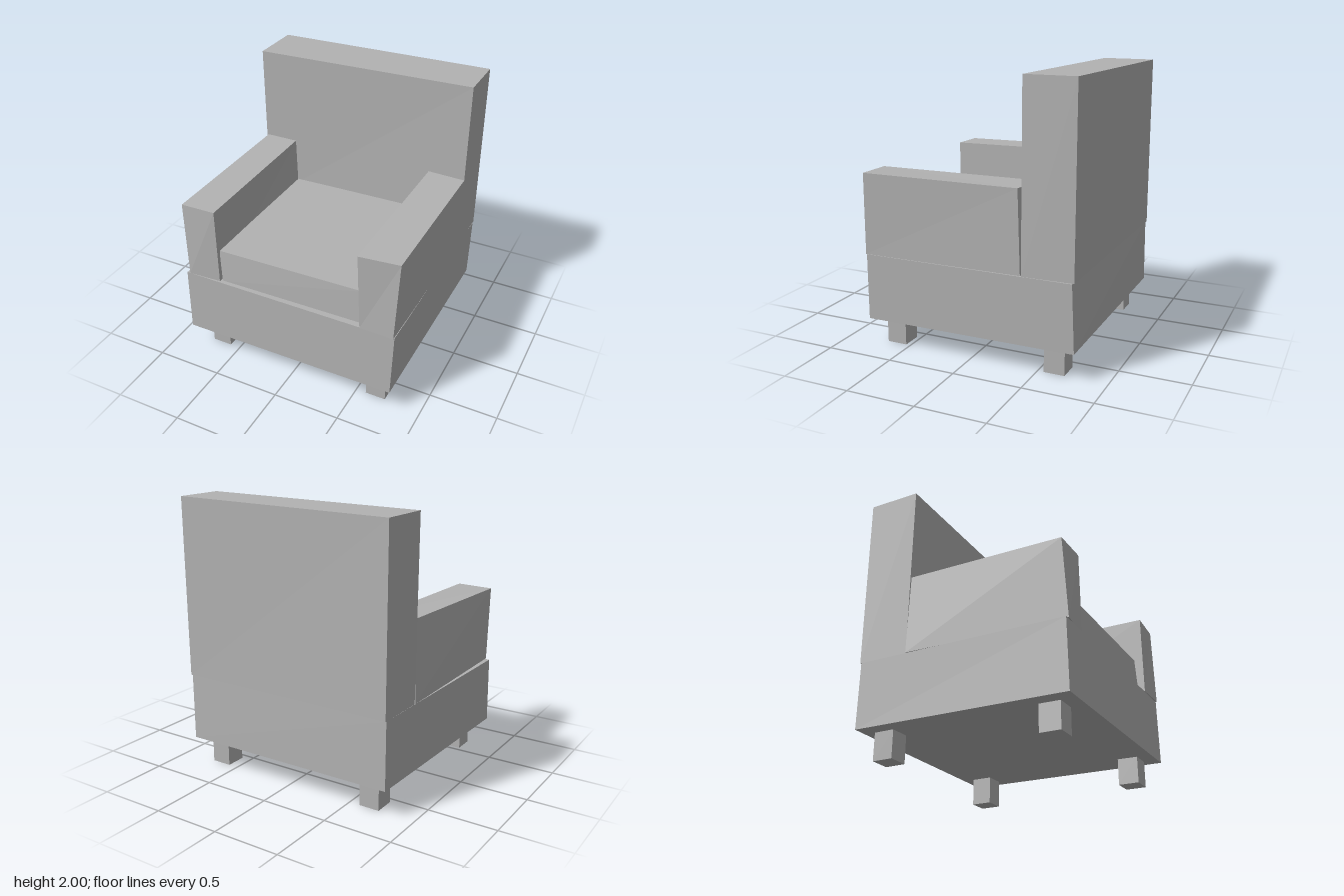
import * as THREE from 'three';

// Box whose eight corners are moved to given points.
// Order for each ring: back -x, back +x, front +x, front -x.
function block(name, bottom, top, material) {
  const geometry = new THREE.BoxGeometry(1, 1, 1);
  const pos = geometry.attributes.position;
  for (let i = 0; i < pos.count; i++) {
    const ring = pos.getY(i) > 0 ? top : bottom;
    const right = pos.getX(i) > 0;
    const corner = pos.getZ(i) > 0 ? (right ? 2 : 3) : (right ? 1 : 0);
    pos.setXYZ(i, ...ring[corner]);
  }
  geometry.computeVertexNormals();
  const mesh = new THREE.Mesh(geometry, material);
  mesh.name = name;
  return mesh;
}

export function createModel() {
  const group = new THREE.Group();
  group.name = 'armchair';
  const grey = new THREE.MeshStandardMaterial({ color: 0xb2b2b2, flatShading: true });
  grey.name = 'grey upholstery';

  // Wide, slightly uneven base
  group.add(block('base',
    [[-0.83, 0.205, -0.785], [0.81, 0.205, -0.79], [0.8, 0.19, 0.79], [-0.84, 0.185, 0.795]],
    [[-0.83, 0.69, -0.78], [0.825, 0.69, -0.775], [0.815, 0.68, 0.78], [-0.84, 0.68, 0.785]], grey));

  // Tall backrest
  group.add(block('backrest',
    [[-0.83, 0.69, -0.79], [0.825, 0.695, -0.79], [0.825, 0.69, -0.42], [-0.83, 0.685, -0.41]],
    [[-0.835, 1.98, -0.79], [0.83, 2.0, -0.795], [0.83, 2.0, -0.43], [-0.835, 1.98, -0.4]], grey));

  // Seat cushion
  group.add(block('seatCushion',
    [[-0.56, 0.68, -0.42], [0.56, 0.68, -0.43], [0.56, 0.68, 0.735], [-0.55, 0.675, 0.755]],
    [[-0.57, 0.925, -0.41], [0.56, 0.94, -0.43], [0.56, 0.94, 0.72], [-0.57, 0.925, 0.735]], grey));

  // Armrests
  group.add(block('rightArmrest',
    [[-0.835, 0.69, -0.41], [-0.555, 0.69, -0.41], [-0.565, 0.68, 0.77], [-0.81, 0.685, 0.79]],
    [[-0.82, 1.275, -0.405], [-0.57, 1.275, -0.405], [-0.57, 1.26, 0.765], [-0.835, 1.255, 0.765]], grey));
  group.add(block('leftArmrest',
    [[0.56, 0.69, -0.42], [0.83, 0.695, -0.415], [0.81, 0.68, 0.79], [0.56, 0.68, 0.785]],
    [[0.55, 1.275, -0.42], [0.835, 1.28, -0.4], [0.835, 1.275, 0.77], [0.54, 1.265, 0.79]], grey));

  // Four square legs
  for (const x of [-0.655, 0.65]) {
    for (const z of [0.61, -0.62]) {
      const leg = new THREE.Mesh(new THREE.BoxGeometry(0.15, 0.2, 0.15), grey);
      leg.position.set(x, 0.1, z);
      leg.name = (z > 0 ? 'front' : 'back') + (x > 0 ? 'Left' : 'Right') + 'Leg';
      group.add(leg);
    }
  }
  return group;
}
